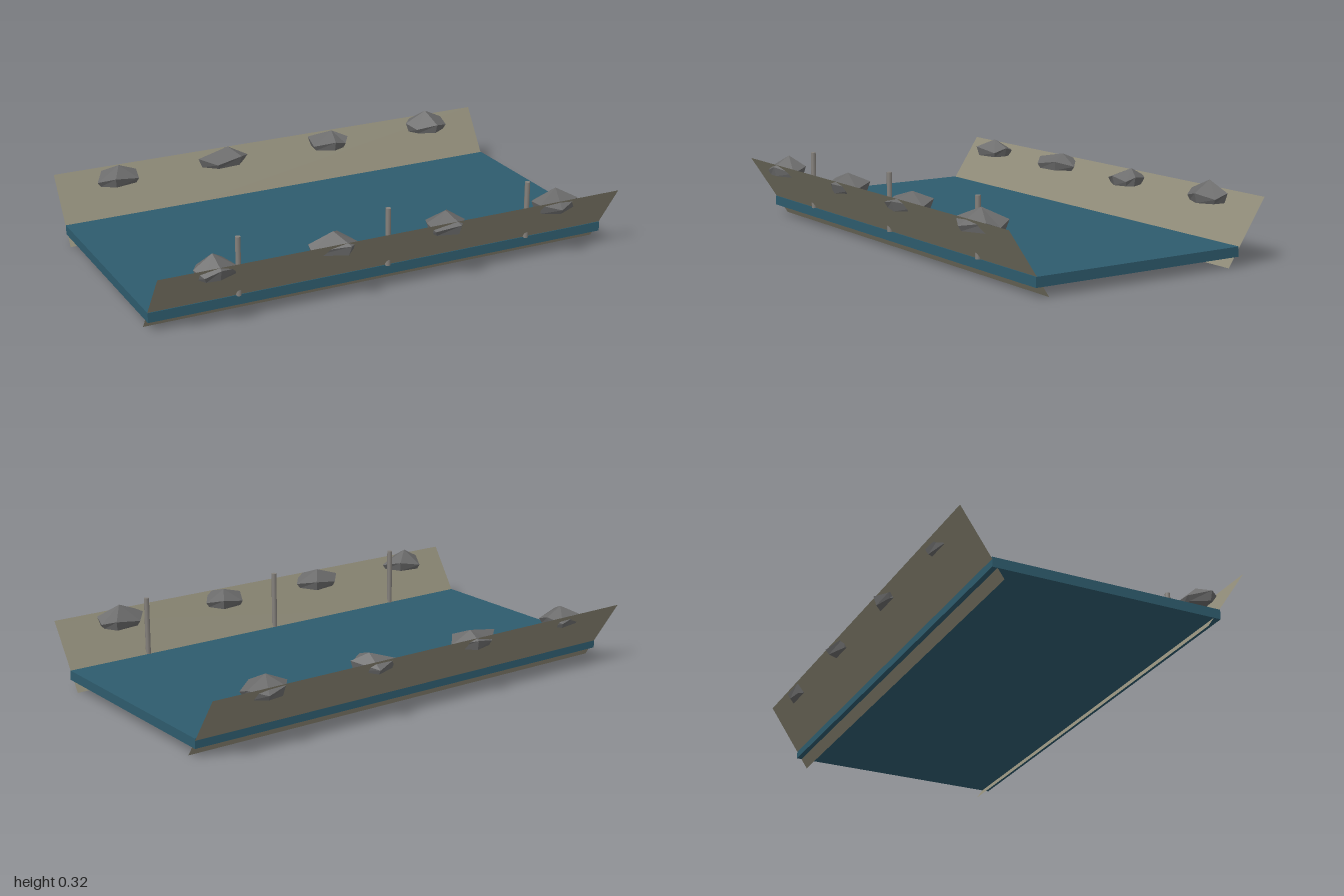
import * as THREE from 'three';

const mat = (name, color, extra = {}) => {
  const m = new THREE.MeshStandardMaterial({ color, ...extra });
  m.name = name;
  return m;
};

// Faceted boulder: flat base, uneven widest ring, single peak.
// ring: [x, z] pairs listed clockwise from above; peak: [x, y, z]
function rockGeometry(ring, peak) {
  const baseY = 0.212, n = ring.length, pos = [];
  const cx = ring.reduce((s, p) => s + p[0], 0) / n;
  const cz = ring.reduce((s, p) => s + p[1], 0) / n;
  const mid = ring.map(([x, z], i) => [x, i % 2 ? 0.232 : 0.252, z]);
  const base = ring.map(([x, z]) => [cx + (x - cx) * 0.86, baseY, cz + (z - cz) * 0.86]);
  const centre = [cx, baseY, cz];
  for (let i = 0; i < n; i++) {
    const j = (i + 1) % n;
    pos.push(...peak, ...mid[j], ...mid[i]);
    pos.push(...mid[i], ...mid[j], ...base[j]);
    pos.push(...mid[i], ...base[j], ...base[i]);
    pos.push(...centre, ...base[i], ...base[j]);
  }
  const g = new THREE.BufferGeometry();
  g.setAttribute('position', new THREE.Float32BufferAttribute(pos, 3));
  g.computeVertexNormals();
  return g;
}

export function createModel() {
  const model = new THREE.Group();
  model.name = 'canal';
  const water = mat('waterBlue', 0x2e5c6e);
  const earth = mat('bankTan', 0x8f8b78, { side: THREE.DoubleSide });
  const stone = mat('rockGrey', 0x6c6c6c, { flatShading: true });
  const wood = mat('postGrey', 0x85817c);
  const add = (geo, material, name, x = 0, y = 0, z = 0) => {
    const m = new THREE.Mesh(geo, material);
    m.name = name;
    m.position.set(x, y, z);
    model.add(m);
    return m;
  };

  // Water slab
  add(new THREE.BoxGeometry(2, 0.04, 0.95), water, 'water', 0, 0.06, 0);

  // Sloping sheet banks, wider apart at the top
  const bank = (name, zLow, zHigh) => {
    const dy = 0.26, dz = zHigh - zLow;
    const m = add(new THREE.PlaneGeometry(2, Math.hypot(dy, dz)), earth, name, 0, dy / 2, (zLow + zHigh) / 2);
    m.rotation.x = Math.atan2(dz, dy);
  };
  bank('frontBank', 0.418, 0.592);
  bank('backBank', -0.427, -0.602);

  // Marker posts along the front bank
  for (const x of [-0.635, 0, 0.635])
    add(new THREE.CylinderGeometry(0.011, 0.011, 0.24, 8), wood, 'post', x, 0.2, 0.478);

  // Rocks on the banks: outline from above, then peak
  const rocks = [
    ['backRock', [[-0.80, -0.58], [-0.69, -0.60], [-0.66, -0.54], [-0.67, -0.48], [-0.78, -0.455], [-0.845, -0.50]], [-0.74, 0.285, -0.53]],
    ['backRock', [[-0.38, -0.53], [-0.315, -0.59], [-0.225, -0.615], [-0.145, -0.545], [-0.20, -0.48], [-0.315, -0.47]], [-0.235, 0.28, -0.55]],
    ['backRock', [[0.165, -0.585], [0.27, -0.625], [0.325, -0.51], [0.30, -0.48], [0.24, -0.455], [0.155, -0.50]], [0.26, 0.28, -0.54]],
    ['backRock', [[0.685, -0.60], [0.765, -0.612], [0.83, -0.565], [0.825, -0.505], [0.755, -0.46], [0.67, -0.495], [0.64, -0.545]], [0.74, 0.297, -0.55]],
    ['frontRock', [[-0.845, 0.55], [-0.80, 0.465], [-0.70, 0.48], [-0.66, 0.56], [-0.755, 0.605], [-0.82, 0.60]], [-0.76, 0.296, 0.53]],
    ['frontRock', [[-0.365, 0.52], [-0.32, 0.47], [-0.205, 0.447], [-0.16, 0.535], [-0.225, 0.612], [-0.365, 0.55]], [-0.26, 0.287, 0.52]],
    ['frontRock', [[0.14, 0.535], [0.175, 0.46], [0.28, 0.445], [0.32, 0.52], [0.25, 0.617], [0.15, 0.59]], [0.235, 0.282, 0.515]],
    ['frontRock', [[0.63, 0.52], [0.675, 0.465], [0.795, 0.447], [0.83, 0.51], [0.82, 0.565], [0.715, 0.617], [0.635, 0.575]], [0.735, 0.297, 0.53]],
  ];
  for (const [name, ring, peak] of rocks) add(rockGeometry(ring, peak), stone, name);

  return model;
}
